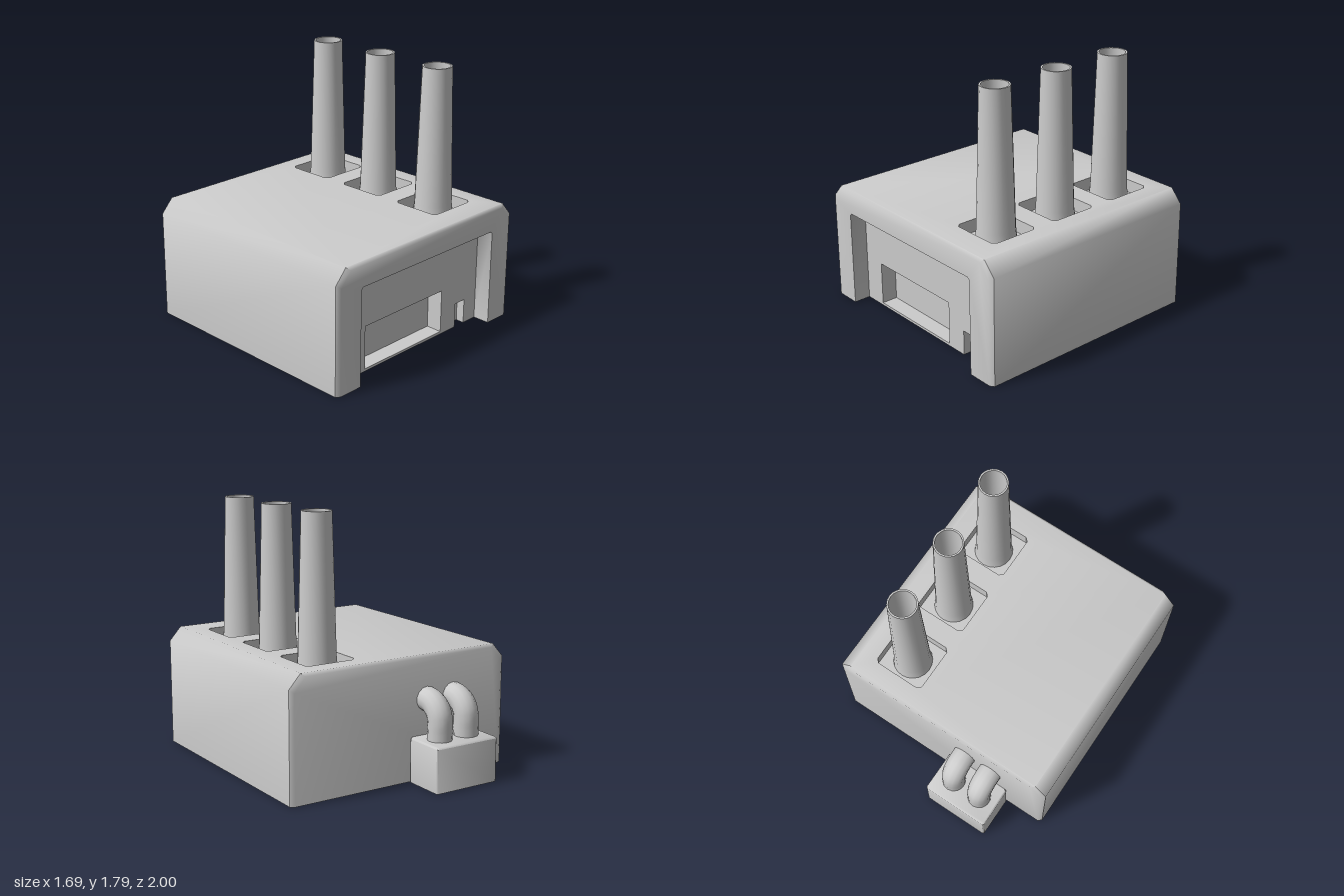
import * as THREE from 'three';
import { mergeGeometries, toCreasedNormals } from 'three/addons/utils/BufferGeometryUtils.js';

const material = new THREE.MeshStandardMaterial({ color: 0xcccccc, side: THREE.DoubleSide });

// Skin between rings of [x, y, z] points; skip(i, j) leaves a quad open.
function loft(rings, closed = false, skip = () => false) {
  const pos = [];
  for (let i = 0; i < rings.length - 1; i++) {
    const n = rings[i].length;
    for (let j = 0; j < (closed ? n : n - 1); j++) {
      if (skip(i, j)) continue;
      const k = (j + 1) % n;
      const [a, b, c, d] = [rings[i][j], rings[i][k], rings[i + 1][k], rings[i + 1][j]];
      pos.push(...a, ...d, ...c, ...a, ...c, ...b);
    }
  }
  const g = new THREE.BufferGeometry();
  g.setAttribute('position', new THREE.Float32BufferAttribute(pos, 3));
  return g;
}

// Flat panel from a 2D outline with holes, facing +z.
function panel(outline, holes = []) {
  const toVectors = pts => pts.map(p => new THREE.Vector2(p[0], p[1]));
  const shape = new THREE.Shape(toVectors(outline));
  holes.forEach(h => shape.holes.push(new THREE.Path(toVectors(h))));
  const g = new THREE.ShapeGeometry(shape).toNonIndexed();
  g.deleteAttribute('uv');
  g.deleteAttribute('normal');
  return g;
}

// Horizontal panel from [x, z] points, facing up.
function deck(outline, y, holes = []) {
  const flip = pts => pts.map(([x, z]) => [x, -z]);
  return panel(flip(outline), holes.map(flip)).rotateX(-Math.PI / 2).translate(0, y, 0);
}

// Rectangle in [x, z] with cut corners.
const cutRect = (x0, x1, z0, z1, c) => [
  [x1, z0 + c], [x1, z1 - c], [x1 - c, z1], [x0 + c, z1],
  [x0, z1 - c], [x0, z0 + c], [x0 + c, z0], [x1 - c, z0],
];
const atZ = (pts, z) => pts.map(([x, y]) => [x, y, z]);
const atY = (pts, y) => pts.map(([x, z]) => [x, y, z]);

function addMesh(parent, name, geometries, crease = 0.9) {
  const mesh = new THREE.Mesh(toCreasedNormals(mergeGeometries(geometries), crease), material);
  mesh.name = name;
  parent.add(mesh);
  return mesh;
}

const BACK = -0.7, FRONT = 1, ROOF = 0.845, WALL_Z = 0.88;
const CHIMNEY_X = 0.452, CHIMNEY_Z = [-0.38, 0.12, 0.627], PIT = 0.09;

export function createModel() {
  const model = new THREE.Group();

  // Hall shell, open below, with cut edges and a roof with three square wells
  const profile = [[-0.845, 0], [-0.845, 0.75], [-0.76, ROOF], [0.76, ROOF], [0.845, 0.75], [0.845, 0]];
  const inset = profile.map(([x, y]) => [x - Math.sign(x) * 0.028, y > 0 ? y - 0.02 : 0]);
  const opening = [[-0.64, 0], [-0.64, 0.665], [-0.625, 0.68], [0.62, 0.68], [0.635, 0.665], [0.635, 0]];
  const wells = CHIMNEY_Z.map(z => cutRect(0.267, 0.637, z - 0.175, z + 0.175, 0.025));
  const z0 = BACK + 0.02, z1 = FRONT - 0.02;
  addMesh(model, 'hallShell', [
    loft([atZ(inset, BACK), atZ(profile, z0), atZ(profile, z1), atZ(inset, FRONT)], false,
      (i, j) => i === 1 && j === 2),
    deck([[-0.76, z0], [-0.76, z1], [0.76, z1], [0.76, z0]], ROOF, wells),
    panel([...inset, ...[...opening].reverse()]).translate(0, 0, FRONT),
    panel(inset).rotateY(Math.PI).translate(0, 0, BACK),
  ]);

  // Wells around the chimney feet
  wells.forEach(w => addMesh(model, 'chimneyWell', [
    loft([atY(w, ROOF), atY(w, ROOF - PIT)], true),
    deck(w, ROOF - PIT),
  ], 0.5));

  // Recessed front wall with two door notches
  const doors = [
    { name: 'loadingBay', x0: -0.475, x1: 0.27, h: 0.32, depth: 0.115 },
    { name: 'smallDoor', x0: 0.42, x1: 0.515, h: 0.175, depth: 0.06 },
  ];
  const notch = d => [[d.x0, 0], [d.x0, d.h], [d.x1, d.h], [d.x1, 0]];
  addMesh(model, 'frontRecess', [
    loft([atZ(opening, FRONT), atZ(opening, WALL_Z)]),
    panel([...opening, ...doors.map(notch).reverse().flatMap(n => n.reverse())]).translate(0, 0, WALL_Z),
  ]);
  doors.forEach(d => addMesh(model, d.name, [
    loft([atZ(notch(d), WALL_Z), atZ(notch(d), WALL_Z - d.depth)]),
    panel(notch(d)).translate(0, 0, WALL_Z - d.depth),
  ], 0.5));

  // Sloping sill of the loading bay
  const bay = doors[0];
  addMesh(model, 'loadingRamp', [loft([
    [[bay.x0, 0.018, WALL_Z - bay.depth], [bay.x1, 0.018, WALL_Z - bay.depth]],
    [[bay.x0, 0.018, WALL_Z], [bay.x1, 0.018, WALL_Z]],
    [[bay.x0, 0, WALL_Z], [bay.x1, 0, WALL_Z]],
  ])], 0.5);

  // Tapered hollow chimneys
  const stack = new THREE.LatheGeometry([
    [0.137, ROOF - PIT], [0.127, ROOF], [0.1, 1.795], [0.088, 1.795], [0.1, 1.2], [0, 1.2],
  ].map(p => new THREE.Vector2(...p)), 20);
  CHIMNEY_Z.forEach(z => {
    const mesh = addMesh(model, 'chimney', [stack.clone()], 0.6);
    mesh.position.set(CHIMNEY_X, 0, z);
  });

  // Ventilation unit at the back, open below
  const box = cutRect(-0.55, -0.06, -1, BACK, 0.01);
  const lid = cutRect(-0.54, -0.07, -0.99, BACK, 0.01);
  addMesh(model, 'ventUnit', [
    loft([atY(box, 0), atY(box, 0.295), atY(lid, 0.305)], true),
    deck(lid, 0.305),
  ]);

  // Bent pipes from the unit into the back wall
  const bend = 0.125, path = [new THREE.Vector3(0, 0.28, -0.843), new THREE.Vector3(0, 0.35, -0.843)];
  for (let i = 0; i <= 4; i++) {
    const a = (i / 4) * Math.PI / 2;
    path.push(new THREE.Vector3(0, 0.423 + bend * Math.sin(a), -0.718 - bend * Math.cos(a)));
  }
  path.push(new THREE.Vector3(0, 0.548, -0.68));
  const pipe = new THREE.TubeGeometry(new THREE.CatmullRomCurve3(path), 16, 0.083, 14);
  for (const x of [-0.41, -0.195]) {
    const mesh = new THREE.Mesh(pipe, material);
    mesh.name = 'ventPipe';
    mesh.position.x = x;
    model.add(mesh);
  }
  return model;
}
